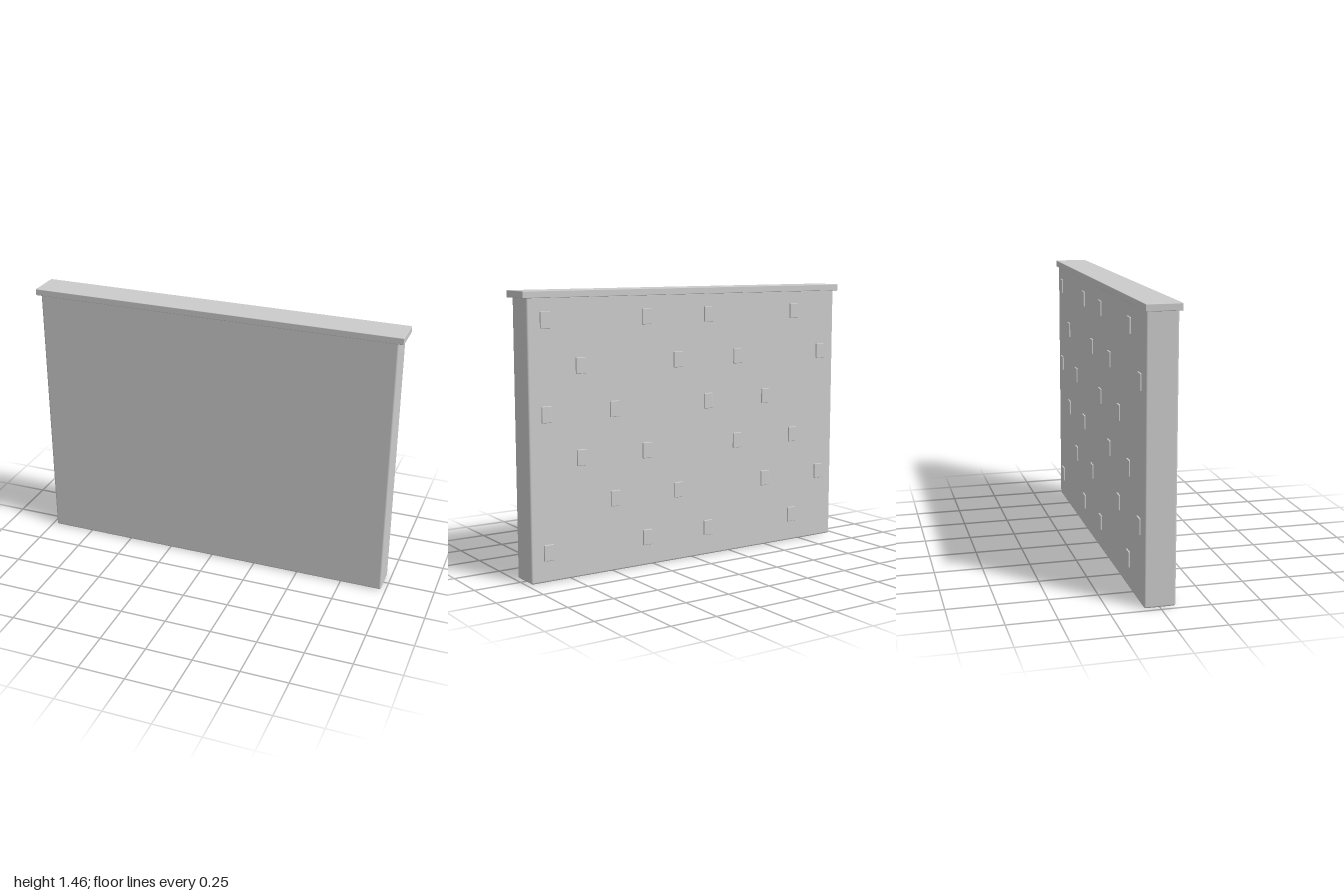
import * as THREE from 'three';
import { RoundedBoxGeometry } from 'three/addons/geometries/RoundedBoxGeometry.js';

export function createModel() {
  const group = new THREE.Group();
  const material = new THREE.MeshStandardMaterial({ color: 0xcccccc });

  function add(name, geometry, x, y, z, parent = group) {
    const mesh = new THREE.Mesh(geometry, material);
    mesh.name = name;
    mesh.position.set(x, y, z);
    parent.add(mesh);
  }

  // Upright slab with softened edges
  const width = 1.95, height = 1.435, depth = 0.158;
  add('panel', new RoundedBoxGeometry(width, height, depth, 3, 0.01), 0, height / 2, 0);

  // Overhanging cap along the top
  add('cap', new RoundedBoxGeometry(2, 0.035, 0.178, 2, 0.003), 0, 1.4445, 0);

  // Small raised blocks on the back: filled rows (top = 0) for each column from +x to -x
  const columns = [
    [0, 2, 5], [1, 3], [2, 4], [0, 3, 5], [1, 4],
    [0, 2, 5], [1, 3], [2, 4], [0, 3, 5], [1, 4],
  ];
  const pitchX = width / columns.length, pitchY = 0.2335;
  const blocks = new THREE.Group();
  blocks.name = 'backBlocks';
  group.add(blocks);
  const blockGeometry = new RoundedBoxGeometry(0.055, 0.083, 0.02, 2, 0.003);
  columns.forEach((rows, c) => {
    for (const r of rows) {
      add('backBlock', blockGeometry, (4.5 - c) * pitchX, 1.32 - r * pitchY, -0.077, blocks);
    }
  });

  return group;
}
